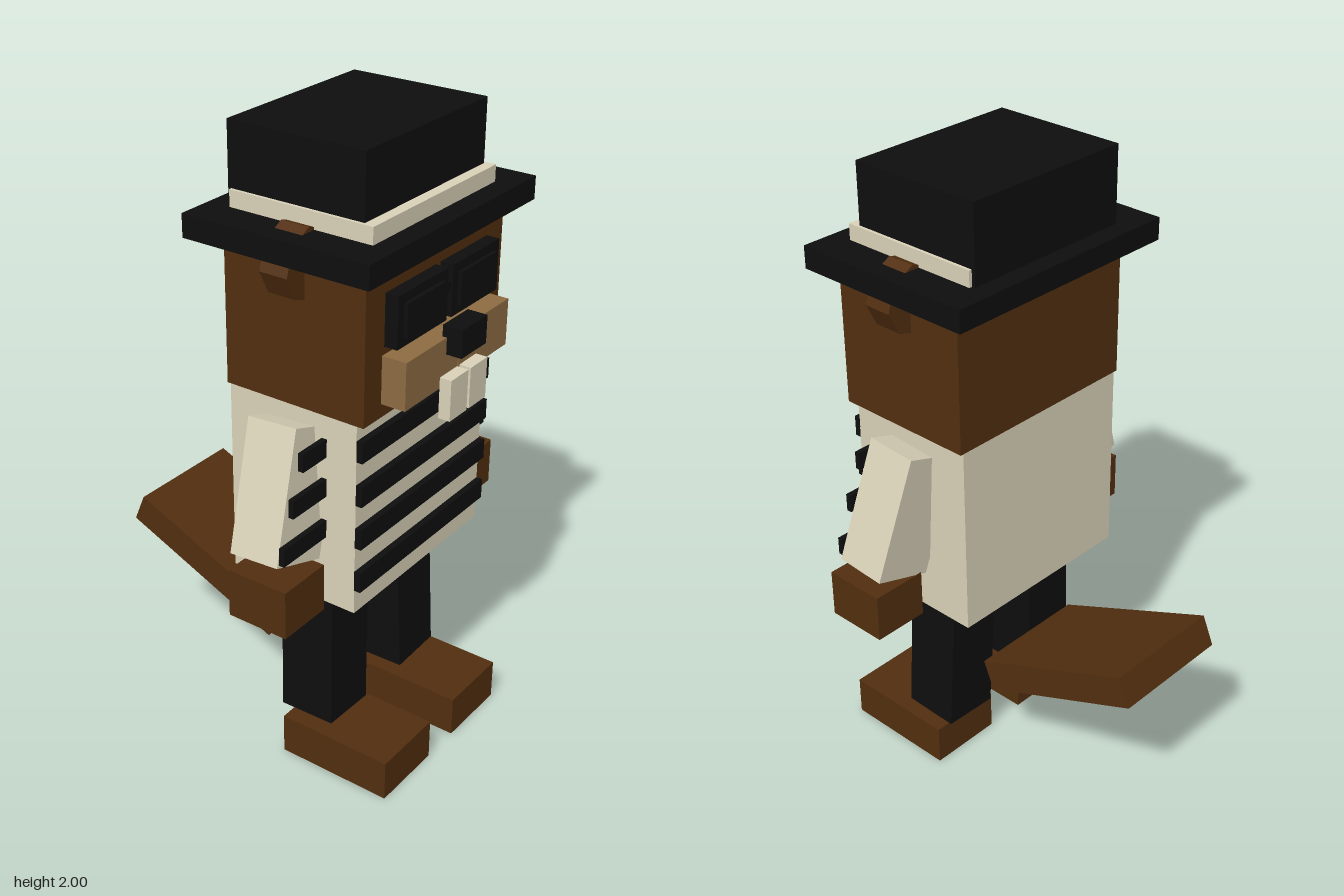
import * as THREE from 'three';

const material = (name, color) => {
  const m = new THREE.MeshStandardMaterial({ color });
  m.name = name;
  return m;
};

export function createModel() {
  const model = new THREE.Group();
  model.name = 'blockCharacter';

  const black = material('black', 0x0e0e0e);
  const cream = material('cream', 0xd9d1b8);
  const brown = material('brown', 0x522e0f);
  const tan = material('tan', 0x8d6c42);

  // Box given by its limits on each axis
  const box = (name, mat, [x0, x1], [y0, y1], [z0, z1]) => {
    const mesh = new THREE.Mesh(new THREE.BoxGeometry(x1 - x0, y1 - y0, z1 - z0), mat);
    mesh.position.set((x0 + x1) / 2, (y0 + y1) / 2, (z0 + z1) / 2);
    mesh.name = name;
    model.add(mesh);
    return mesh;
  };

  // Box given by size, centre and tilt
  const tilted = (name, mat, size, centre, rx, rz) => {
    const mesh = new THREE.Mesh(new THREE.BoxGeometry(...size), mat);
    mesh.position.set(...centre);
    mesh.rotation.set(rx, 0, rz);
    mesh.name = name;
    model.add(mesh);
    return mesh;
  };

  // Hat
  box('hatBrim', black, [-0.412, 0.412], [1.69, 1.76], [-0.12, 0.487]);
  box('hatCrown', black, [-0.29, 0.29], [1.75, 2], [-0.058, 0.387]);
  box('hatBand', cream, [-0.3, 0.3], [1.755, 1.81], [-0.047, 0.42]);

  // Head and torso
  box('head', brown, [-0.342, 0.338], [1.255, 1.675], [-0.035, 0.43]);
  box('torso', cream, [-0.33, 0.327], [0.643, 1.255], [-0.034, 0.4]);
  for (const y of [0.72, 0.862, 1, 1.138]) {
    box('torsoStripe', black, [-0.33, 0.327], [y, y + 0.065], [0.399, 0.42]);
  }

  // Face centre
  box('nose', black, [-0.065, 0.062], [1.39, 1.475], [0.493, 0.556]);
  box('glassesBridge', black, [-0.02, 0.02], [1.54, 1.57], [0.43, 0.465]);

  // Tail, rising toward the back
  tilted('tail', brown, [0.403, 0.1, 0.593], [-0.002, 0.477, -0.265], 0.404, 0);

  // Paired parts
  for (const s of [-1, 1]) {
    const side = s > 0 ? 'left' : 'right';
    const span = (a, b) => (s > 0 ? [a, b] : [-b, -a]);

    // Eight-sided ear
    const ear = new THREE.Mesh(
      new THREE.CylinderGeometry(0.105, 0.105, 0.09, 8).toNonIndexed(), brown);
    ear.geometry.rotateX(Math.PI / 2);
    ear.geometry.computeVertexNormals();
    ear.rotation.z = -s * 0.087;
    ear.position.set(s * 0.313, 1.67, 0.19);
    ear.name = side + 'Ear';
    model.add(ear);

    // Glasses, muzzle and teeth
    box(side + 'GlassesFrame', black, span(0.012, 0.253), [1.463, 1.617], [0.425, 0.471]);
    box(side + 'GlassesLens', black, span(0.04, 0.225), [1.49, 1.59], [0.465, 0.483]);
    box(side + 'Muzzle', tan, span(0.002, 0.262), [1.297, 1.44], [0.425, 0.507]);
    box(side + 'Tooth', cream, span(0.006, 0.094), [1.207, 1.332], [0.508, 0.545]);

    // Sleeve with stripes on its front, and hand
    tilted(side + 'Sleeve', cream, [0.2, 0.395, 0.165], [s * 0.377, 1.005, 0.19], -0.07, s * 0.32);
    [[1.12, 0.437], [0.995, 0.482], [0.862, 0.525]].forEach(([y, x]) =>
      box(side + 'SleeveStripe', black, span(0.328, x), [y, y + 0.056], [0.284, 0.301]));
    box(side + 'Hand', brown, span(0.366, 0.546), [0.643, 0.795], [0.12, 0.32]);

    // Leg and foot
    tilted(side + 'Leg', black, [0.185, 0.53, 0.185], [s * 0.178, 0.417, 0.188], -0.03, s * 0.04);
    box(side + 'Foot', brown, span(0.066, 0.312), [0, 0.132], [0.13, 0.51]);
  }

  return model;
}
